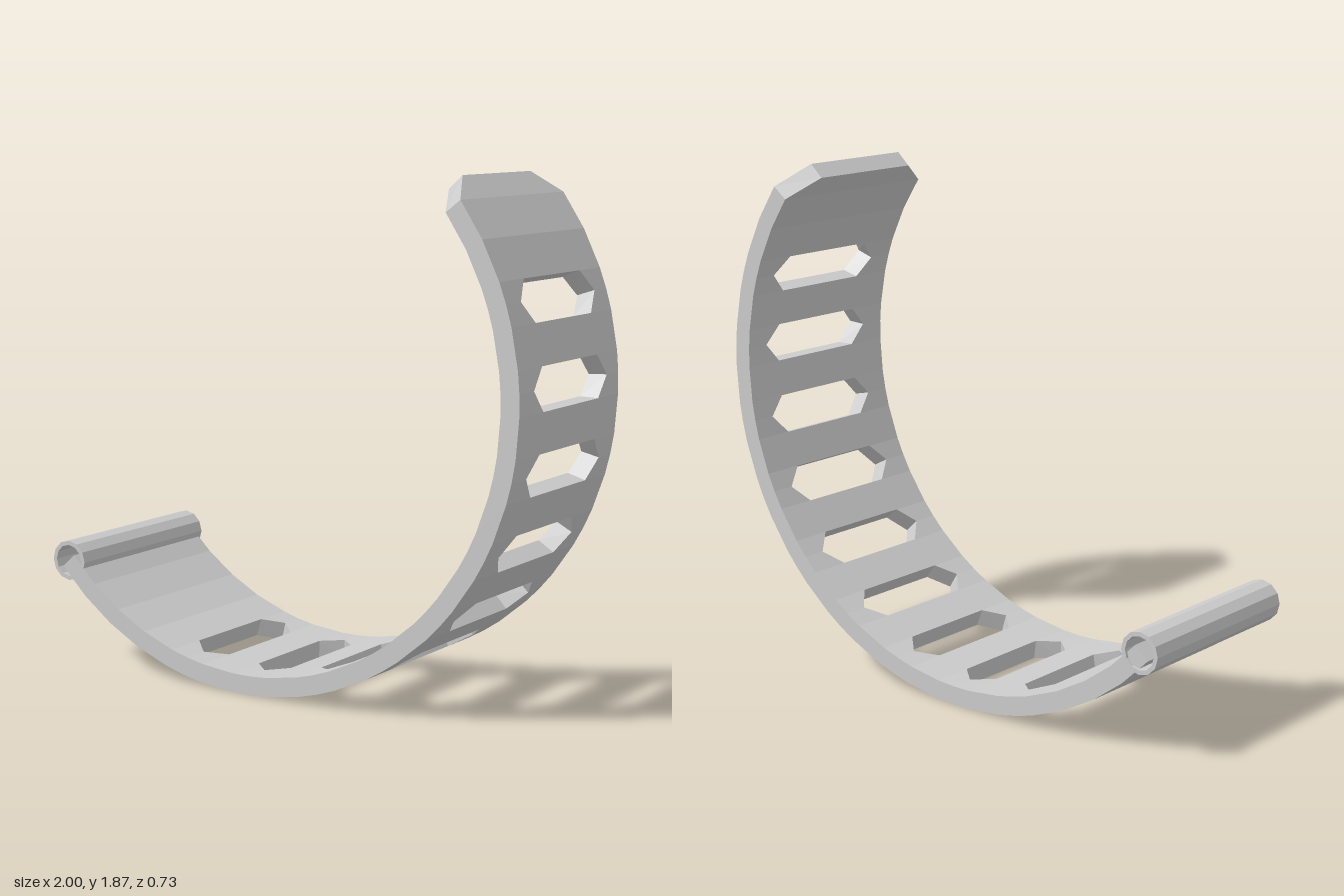
import * as THREE from 'three';

const CX = -0.12, CY = 1.12;           // centre of the arc
const R_OUT = 1.12, R_IN = 1.05;       // outer and inner radius of the band
const Z0 = -0.355, Z1 = 0.365;         // band edges
const START = -138, CHAMFER = 37.3, END = 42.3; // degrees
const SLOTS = 9, FIRST = -103.6, STEP = 15.2, HALF = 3.9;
const FLAT = 0.2, POINT = 0.265;       // slot half length at its sides and at its tips

function createBandGeometry() {
  const pos = [];
  const P = (deg, r, z) => {
    const a = THREE.MathUtils.degToRad(deg);
    return [CX + r * Math.cos(a), CY + r * Math.sin(a), z];
  };
  const quad = (a, b, c, d) => pos.push(...a, ...b, ...c, ...a, ...c, ...d);

  // Curved piece from angle a to b; [lo, hi] is its z range at each end
  const piece = (a, b, [la, ha], [lb, hb]) => {
    quad(P(a, R_OUT, la), P(b, R_OUT, lb), P(b, R_OUT, hb), P(a, R_OUT, ha));
    quad(P(a, R_IN, ha), P(b, R_IN, hb), P(b, R_IN, lb), P(a, R_IN, la));
    quad(P(a, R_IN, ha), P(a, R_OUT, ha), P(b, R_OUT, hb), P(b, R_IN, hb));
    quad(P(b, R_IN, lb), P(b, R_OUT, lb), P(a, R_OUT, la), P(a, R_IN, la));
  };
  // Cross wall at one angle; forward walls face the increasing angle
  const wall = (a, lo, hi, forward) => {
    const q = [P(a, R_IN, lo), P(a, R_IN, hi), P(a, R_OUT, hi), P(a, R_OUT, lo)];
    quad(...(forward ? q : q.reverse()));
  };
  const solid = (a, b) => {
    const n = Math.ceil((b - a) / 8);
    for (let i = 0; i < n; i++) {
      piece(a + (b - a) * i / n, a + (b - a) * (i + 1) / n, [Z0, Z1], [Z0, Z1]);
    }
  };

  wall(START, Z0, Z1, false);
  let from = START;
  for (let i = 0; i < SLOTS; i++) {
    const c = FIRST + i * STEP;
    solid(from, c - HALF);
    wall(c - HALF, -FLAT, FLAT, true);
    // Rails on both sides of the pointed slot
    for (const [a, b, ha, hb] of [[c - HALF, c, FLAT, POINT], [c, c + HALF, POINT, FLAT]]) {
      piece(a, b, [Z0, -ha], [Z0, -hb]);
      piece(a, b, [ha, Z1], [hb, Z1]);
    }
    wall(c + HALF, -FLAT, FLAT, false);
    from = c + HALF;
  }
  // Free end with cut corners
  solid(from, CHAMFER);
  piece(CHAMFER, END, [Z0, Z1], [Z0 + 0.13, Z1 - 0.12]);
  wall(END, Z0 + 0.13, Z1 - 0.12, true);

  const geo = new THREE.BufferGeometry();
  geo.setAttribute('position', new THREE.Float32BufferAttribute(pos, 3));
  geo.computeVertexNormals();
  return geo;
}

// Thin hollow sleeve along z
function createSleeveGeometry() {
  const ring = (r) => Array.from({ length: 12 }, (_, i) => {
    const a = i / 12 * Math.PI * 2;
    return new THREE.Vector2(r * Math.cos(a), r * Math.sin(a));
  });
  const shape = new THREE.Shape(ring(0.076));
  shape.holes.push(new THREE.Path(ring(0.06).reverse()));
  return new THREE.ExtrudeGeometry(shape, { depth: 0.73, bevelEnabled: false });
}

export function createModel() {
  const group = new THREE.Group();
  const material = new THREE.MeshStandardMaterial({ color: 0xcccccc, flatShading: true });

  const band = new THREE.Mesh(createBandGeometry(), material);
  band.name = 'slottedBand';

  const sleeve = new THREE.Mesh(createSleeveGeometry(), material);
  sleeve.name = 'hingeSleeve';
  sleeve.position.set(-0.924, 0.395, -0.365);

  group.add(band, sleeve);
  return group;
}
